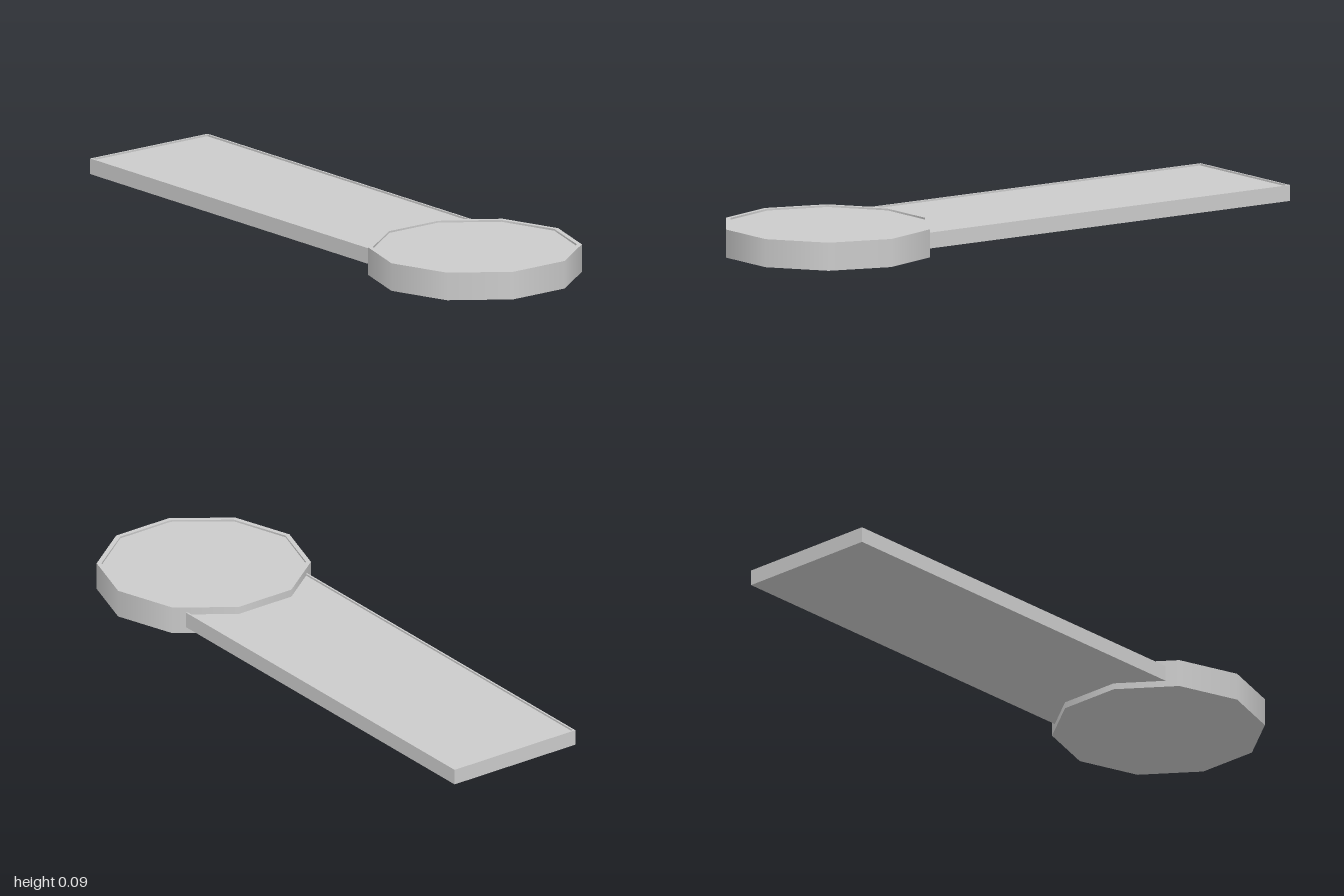
import * as THREE from 'three';

const grey = new THREE.MeshStandardMaterial({ color: 0xcccccc });
const inside = new THREE.MeshStandardMaterial({ color: 0xcccccc, side: THREE.BackSide });

function add(parent, name, geometry, y = 0, material = grey) {
  const mesh = new THREE.Mesh(geometry, material);
  mesh.name = name;
  mesh.position.y = y;
  parent.add(mesh);
  return mesh;
}

// Ten-sided disc with a thin raised rim around a shallow recess
function createDisc() {
  const disc = new THREE.Group();
  disc.name = 'disc';
  const sides = 10, radius = 0.345, inner = 0.329, height = 0.092, recess = 0.006;
  const flat = (g, down) => g.rotateX(down ? Math.PI / 2 : -Math.PI / 2);
  const face = (r) => new THREE.CircleGeometry(r, sides, Math.PI / 2);

  add(disc, 'discWall', new THREE.CylinderGeometry(radius, radius, height, sides, 1, true), height / 2);
  add(disc, 'discBase', flat(face(radius), true));
  add(disc, 'discRim', flat(new THREE.RingGeometry(inner, radius, sides, 1, Math.PI / 2)), height);
  add(disc, 'discRimInside', new THREE.CylinderGeometry(inner, inner, recess, sides, 1, true),
    height - recess / 2, inside);
  add(disc, 'discTop', flat(face(inner)), height - recess);
  disc.position.x = 0.67;
  return disc;
}

// Long flat plate with a hairline rim, its end tucked into the disc
function createPlate() {
  const plate = new THREE.Group();
  plate.name = 'plate';
  const x0 = -1, x1 = 0.5, half = 0.243, bottom = 0.021, top = 0.073, lip = 0.006, recess = 0.006;
  const rectangle = (Type, inset) => new Type([
    new THREE.Vector2(x0 + inset, -half + inset), new THREE.Vector2(x1 - inset, -half + inset),
    new THREE.Vector2(x1 - inset, half - inset), new THREE.Vector2(x0 + inset, half - inset),
  ]);
  const slab = (shape, depth) =>
    new THREE.ExtrudeGeometry(shape, { depth, bevelEnabled: false }).rotateX(-Math.PI / 2);

  add(plate, 'plateBody', slab(rectangle(THREE.Shape, 0), top - bottom - recess), bottom);
  const rim = rectangle(THREE.Shape, 0);
  rim.holes.push(rectangle(THREE.Path, lip));
  add(plate, 'plateRim', slab(rim, recess), top - recess);
  return plate;
}

export function createModel() {
  const model = new THREE.Group();
  model.name = 'plateWithDisc';
  model.add(createPlate(), createDisc());
  return model;
}
